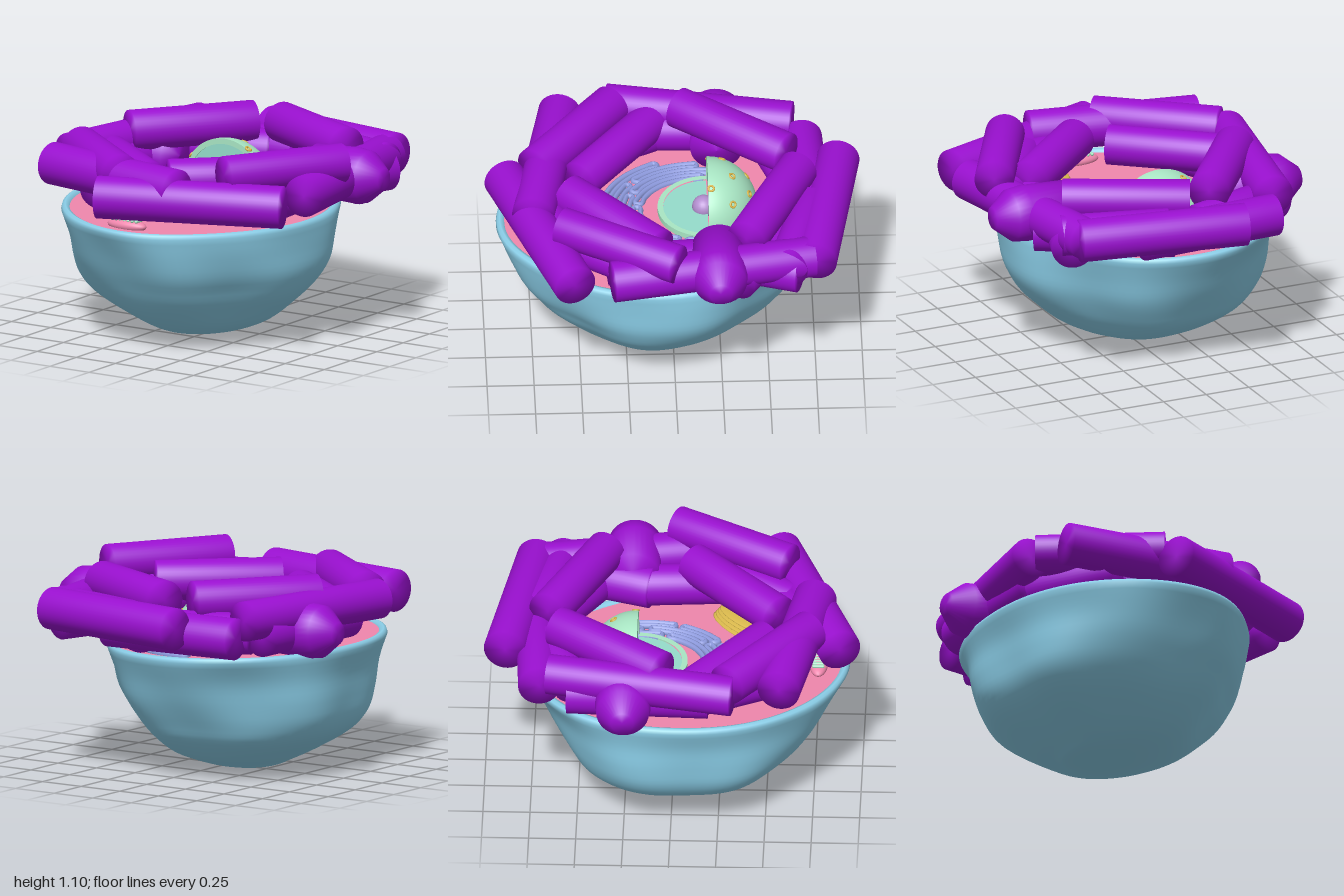
import * as THREE from 'three';
import { mergeVertices } from 'three/addons/utils/BufferGeometryUtils.js';

const mat = (color) => new THREE.MeshStandardMaterial({ color, side: THREE.DoubleSide });
const BLUE = mat(0x8cd0ea), PINK = mat(0xf087ad), PURPLE = mat(0x9a10d0), GREEN = mat(0xa9e6c4),
  TEAL = mat(0x95dccb), LAVENDER = mat(0x8f9ce0), GOLD = mat(0xd9b84c), LILAC = mat(0xb48fd0);

function add(parent, name, geometry, material, x = 0, y = 0, z = 0) {
  const m = new THREE.Mesh(geometry, material);
  m.name = name;
  m.position.set(x, y, z);
  parent.add(m);
  return m;
}

// Skin closed rings, ordered bottom to top, then outside to centre
function loft(rows, n, point) {
  const pos = [], idx = [];
  rows.forEach((row) => {
    for (let i = 0; i < n; i++) pos.push(...point(row, (i / n) * Math.PI * 2));
  });
  for (let j = 0; j < rows.length - 1; j++) {
    for (let i = 0; i < n; i++) {
      const a = j * n + i, b = j * n + (i + 1) % n;
      idx.push(a, a + n, b, b, a + n, b + n);
    }
  }
  const g = new THREE.BufferGeometry();
  g.setAttribute('position', new THREE.Float32BufferAttribute(pos, 3));
  g.setIndex(idx);
  g.computeVertexNormals();
  return g;
}

// Point on a lopsided oval ring: row = [y, xMin, xMax, zMin, zMax, inset]
function ringPoint([y, x0, x1, z0, z1, inset = 0], t) {
  const s2 = Math.sin(2 * t);
  const skew = 0.016 * s2 - s2 * s2 * (0.009 + 0.038 * Math.cos(t - Math.PI / 4));
  const belly = 0.14 * Math.max(0, 1 - y / 0.35) * Math.max(0, Math.cos(t - 0.9)) ** 4;
  const lump = 1 + skew + belly + 0.022 * Math.sin(Math.PI * Math.min(1, y / 0.72))
    * (Math.sin(5 * t + 1 + 3 * y) + 0.6 * Math.sin(8 * t - 4 * y));
  const rx = Math.max(0, (x1 - x0) / 2 - inset) * lump;
  const rz = Math.max(0, (z1 - z0) / 2 - inset) * lump;
  const x = (x0 + x1) / 2 + rx * Math.cos(t);
  // The rim dips slightly towards +x
  return [x, y - 0.025 * x * y, (z0 + z1) / 2 + rz * Math.sin(t)];
}

// Cylinder between two points, with soft shading over its ends
function rod(parent, a, b, r) {
  const A = new THREE.Vector3(...a), B = new THREE.Vector3(...b), d = B.clone().sub(A);
  let g = new THREE.CylinderGeometry(r, r, d.length(), 40);
  g.deleteAttribute('normal');
  g.deleteAttribute('uv');
  g = mergeVertices(g);
  g.computeVertexNormals();
  const m = add(parent, 'rod', g, PURPLE);
  m.position.copy(A).add(B).multiplyScalar(0.5);
  m.quaternion.setFromUnitVectors(new THREE.Vector3(0, 1, 0), d.normalize());
}

function membrane(root) {
  const keys = [
    [0, -0.1, -0.1, 0.02, 0.02], [0.012, -0.26, 0.06, -0.12, 0.2], [0.04, -0.33, 0.19, -0.22, 0.35],
    [0.1, -0.46, 0.33, -0.37, 0.48], [0.2, -0.63, 0.45, -0.51, 0.62], [0.3, -0.71, 0.55, -0.58, 0.72],
    [0.42, -0.735, 0.62, -0.65, 0.81], [0.55, -0.745, 0.64, -0.71, 0.88], [0.675, -0.78, 0.65, -0.78, 0.94],
  ];
  // Subdivide the key rings smoothly
  const rows = [], steps = 32;
  const track = (c) => new THREE.CatmullRomCurve3(
    keys.map((k) => new THREE.Vector3(k[0], k[c], k[c + 1])), false, 'catmullrom');
  const xs = track(1), zs = track(3);
  for (let i = 0; i <= steps; i++) {
    const p = xs.getPoint(i / steps), q = zs.getPoint(i / steps);
    rows.push([Math.max(0, p.x), p.y, p.z, q.y, q.z]);
  }
  // Rounded lip
  const rim = [-0.78, 0.65, -0.78, 0.94];
  [[0.694, 0.006], [0.703, 0.022], [0.695, 0.042], [0.675, 0.05]].forEach(([y, s]) => rows.push([y, ...rim, s]));
  add(root, 'cellMembrane', loft(rows, 96, ringPoint), BLUE);
  const disc = [0.045, 0.25, 0.5, 2].map((s) => [0.685, ...rim, s]);
  add(root, 'cytoplasm', loft(disc, 96, ringPoint), PINK);
}

function nucleus(root) {
  const g = new THREE.Group(), R = 0.265, r = 0.235;
  g.name = 'nucleus';
  g.position.set(-0.1, 0.715, -0.19);
  root.add(g);
  add(g, 'dome', new THREE.SphereGeometry(R, 48, 24, Math.PI, Math.PI, 0, Math.PI / 2), GREEN);
  add(g, 'collar', new THREE.CylinderGeometry(R, R, 0.05, 64, 1, true), GREEN, 0, -0.025, 0);
  // Cut faces: one upright, one level
  add(g, 'uprightShell', new THREE.RingGeometry(r, R, 48, 1, 0, Math.PI), GREEN);
  add(g, 'uprightCore', new THREE.CircleGeometry(r, 48, 0, Math.PI), TEAL, 0, 0, -0.006);
  add(g, 'levelShell', new THREE.RingGeometry(r, R, 48, 1, Math.PI, Math.PI), GREEN).rotation.x = -Math.PI / 2;
  add(g, 'levelCore', new THREE.CircleGeometry(r, 48, Math.PI, Math.PI), TEAL, 0, -0.008, 0).rotation.x = -Math.PI / 2;
  add(g, 'nucleolus', new THREE.SphereGeometry(0.062, 24, 16), LILAC, 0, 0, 0.02);
  // Pores sit on the dome
  [[-0.06, -0.21], [0.07, -0.22], [0.04, -0.13], [0.18, -0.13], [-0.11, -0.08], [-0.22, -0.015], [0.14, -0.015]]
    .forEach(([x, z]) => {
      const p = new THREE.Vector3(x, Math.sqrt(R * R - x * x - z * z), z);
      const pore = add(g, 'pore', new THREE.TorusGeometry(0.015, 0.006, 8, 20), GOLD);
      pore.position.copy(p);
      pore.quaternion.setFromUnitVectors(new THREE.Vector3(0, 0, 1), p.normalize());
    });
}

// Folded sheets: closed loops around the nucleus, [ring, start, end] in degrees
function reticulum(root) {
  const g = new THREE.Group();
  g.name = 'endoplasmicReticulum';
  g.position.set(-0.1, 0.69, -0.14);
  root.add(g);
  const arcs = [
    [0, 20, 95], [0, 102, 185], [0, -80, 12], [1, 2, 50], [1, 57, 112], [1, 119, 195], [1, -88, -6],
    [2, 62, 125], [2, 132, 180], [2, -70, -25], [2, -18, 18], [2, 24, 55], [3, 60, 95], [3, 101, 155], [3, -100, -60],
  ];
  arcs.forEach(([k, a0, a1]) => {
    const pts = [], n = 9, mid = 0.312 + k * 0.056;
    for (let s = 0; s < 2; s++) {
      for (let i = 0; i < n; i++) {
        const t = THREE.MathUtils.degToRad(a0 + (a1 - a0) * (s ? 1 - i / (n - 1) : i / (n - 1)));
        const r = mid + (s ? 0.016 : -0.016);
        pts.push(new THREE.Vector3(r * 0.9 * Math.cos(t), 0, r * 1.04 * Math.sin(t)));
      }
    }
    const curve = new THREE.CatmullRomCurve3(pts, true);
    add(g, 'fold', new THREE.TubeGeometry(curve, 64, 0.0145, 8, true), LAVENDER).scale.y = 1.4;
  });
}

// Stack of flattened sacs
function golgi(root) {
  const g = new THREE.Group();
  g.name = 'golgiStack';
  g.position.set(0.25, 0.695, 0.37);
  g.rotation.y = Math.PI / 4;
  root.add(g);
  for (let i = 0; i < 4; i++) {
    const sac = add(g, 'sac', new THREE.SphereGeometry(1, 32, 12), GOLD, 0, i * 0.02, 0);
    sac.scale.set(0.23 - 0.015 * i, 0.012, 0.085 - 0.008 * i);
  }
}

// Bean with a ridged, open top
function mitochondrion(root) {
  const g = new THREE.Group();
  g.name = 'mitochondrion';
  g.position.set(-0.08, 0.7, 0.77);
  root.add(g);
  add(g, 'shell', new THREE.SphereGeometry(1, 32, 16), PINK).scale.set(0.12, 0.035, 0.05);
  for (let i = -3; i <= 3; i++) {
    add(g, 'ridge', new THREE.CapsuleGeometry(0.009, 0.05, 4, 10), GREEN, i * 0.025, 0.03, 0).rotation.x = Math.PI / 2;
  }
}

function wreath(root) {
  const g = new THREE.Group();
  g.name = 'rodWreath';
  root.add(g);
  // [x0, z0, x1, z1, y, radius]
  [
    [-0.28, -0.89, 0.62, -0.74, 0.885, 0.114], // back
    [-0.54, -0.7, 0.25, -0.74, 0.83, 0.112],
    [-0.06, -0.67, 0.55, -0.375, 0.985, 0.108],
    [0.1, -0.74, 0.66, -0.59, 0.87, 0.11],
    [-0.2, -0.61, -0.615, -0.05, 0.985, 0.11], // -x side
    [-0.56, -0.65, -0.745, 0.33, 0.92, 0.107],
    [-0.65, 0.085, -0.13, 0.49, 0.88, 0.107],
    [-0.69, 0.3, -0.15, 0.725, 0.955, 0.11],
    [-0.685, 0.575, 0.22, 0.745, 0.92, 0.114], // front
    [-0.19, 0.885, 0.76, 0.54, 0.86, 0.114],
    [0.53, 0.09, 0.04, 0.55, 0.92, 0.11], // +x side
    [0.775, -0.005, 0.425, 0.6, 1.0, 0.105],
    [0.57, -0.73, 0.76, 0.34, 0.88, 0.11],
    [0.62, -0.66, 0.45, -0.13, 0.82, 0.115],
    // Lower layer resting on the rim
    [-0.52, -0.52, -0.12, -0.66, 0.83, 0.11],
    [0.05, -0.72, 0.68, -0.32, 0.81, 0.11],
    [0.48, -0.2, 0.52, 0.36, 0.81, 0.11],
    [0.62, 0.15, 0.3, 0.62, 0.84, 0.105],
    [0.12, 0.66, 0.5, 0.5, 0.83, 0.1],
    [-0.6, -0.55, -0.63, 0.2, 0.83, 0.11],
    [-0.62, 0.1, -0.38, 0.58, 0.82, 0.108],
  ].forEach(([x0, z0, x1, z1, y, r]) => rod(g, [x0, y, z0], [x1, y, z1], r));
  // Blunt, chamfered plugs that stick out at both sides
  const profile = [[0, 0], [0.14, 0.03], [0.15, 0.28], [0.14, 0.36], [0.06, 0.46], [0, 0.46]]
    .map(([r, y]) => new THREE.Vector2(r, y));
  [[1, 0.88, -0.23], [-1, 0.83, -0.25]].forEach(([s, y, z]) => {
    add(g, 'plug', new THREE.LatheGeometry(profile, 32), PURPLE, s * 0.43, y, z).rotation.z = -s * Math.PI / 2;
  });
}

export function createModel() {
  const root = new THREE.Group();
  root.name = 'cellModel';
  [membrane, nucleus, reticulum, golgi, mitochondrion, wreath].forEach((build) => build(root));
  return root;
}
